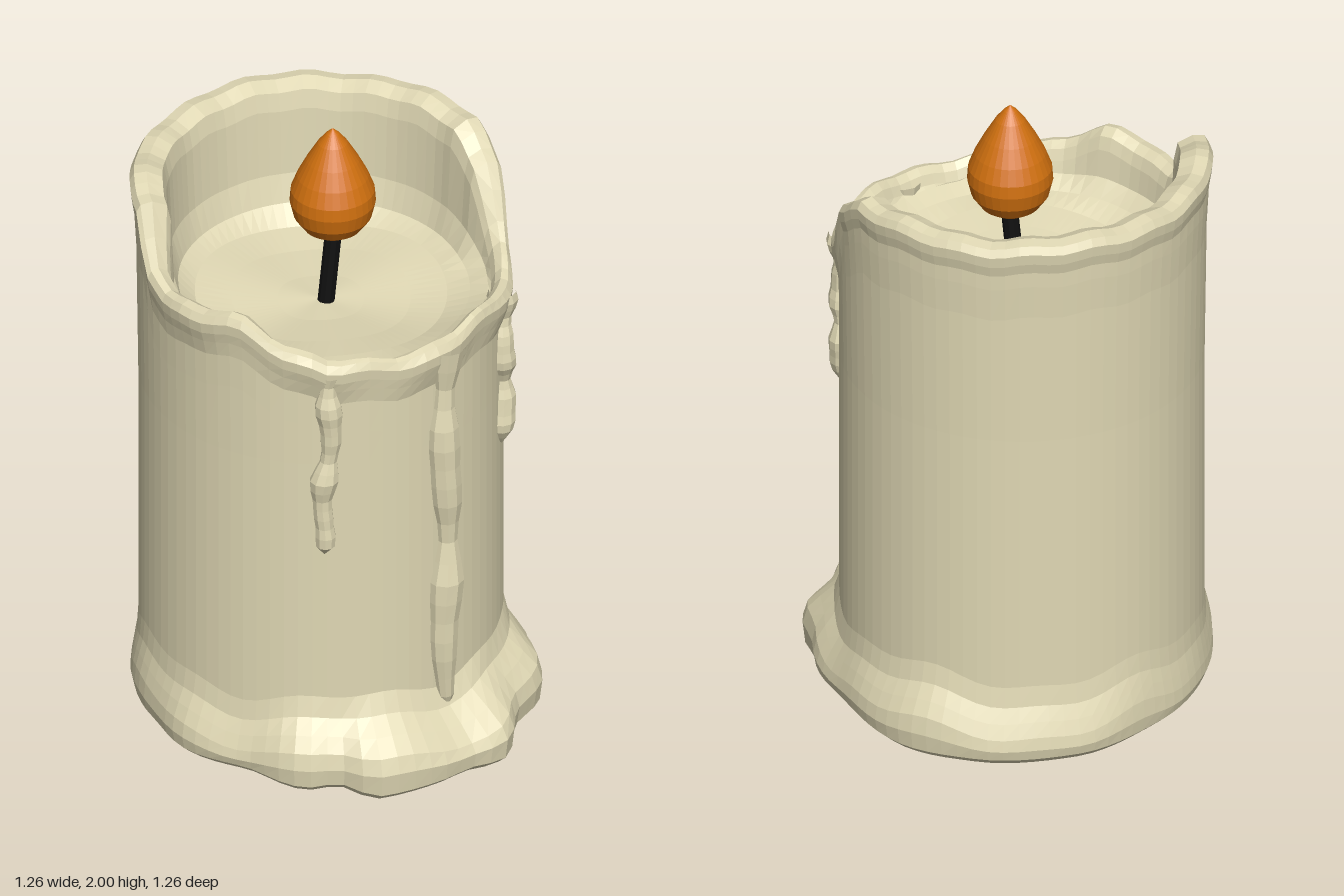
import * as THREE from 'three';

const CX = -0.05, CZ = -0.02, R = 0.55; // wax cylinder axis and radius
const DEG = Math.PI / 180;

// Value of a smoothly joined table of [degrees, value]; 0 = front, 90 = +x side
function around(table, deg) {
  for (let i = 0; i < table.length - 1; i++) {
    const [a, va] = table[i], [b, vb] = table[i + 1];
    if (deg >= a && deg <= b) return THREE.MathUtils.lerp(va, vb, THREE.MathUtils.smoothstep(deg, a, b));
  }
  return table[table.length - 1][1];
}

// Rim height and spread of the melted foot
const RIM = [[-180, 1.84], [-150, 1.85], [-110, 1.84], [-75, 1.85], [-64, 1.83], [-54, 1.64], [-42, 1.61],
  [-16, 1.64], [5, 1.55], [16, 1.52], [39, 1.5], [75, 1.53], [92, 1.5], [108, 1.55], [124, 1.78],
  [136, 1.84], [160, 1.85], [180, 1.84]];
const FOOT = [[-180, 0.615], [-150, 0.6], [-120, 0.575], [-90, 0.57], [-50, 0.585], [-30, 0.61], [-12, 0.6],
  [8, 0.65], [16, 0.635], [27, 0.7], [42, 0.695], [52, 0.69], [63, 0.72], [76, 0.66], [90, 0.68],
  [105, 0.63], [130, 0.6], [160, 0.625], [180, 0.615]];

// Closed rings, listed from the bottom up, joined into a skin
function loft(rows, cols, point) {
  const pos = [], index = [];
  for (let i = 0; i < rows; i++)
    for (let j = 0; j < cols; j++) pos.push(...point(i, j));
  for (let i = 0; i < rows - 1; i++)
    for (let j = 0; j < cols; j++) {
      const k = (j + 1) % cols, a = i * cols + j, b = i * cols + k, c = a + cols, d = b + cols;
      index.push(a, b, d, a, d, c);
    }
  const g = new THREE.BufferGeometry();
  g.setAttribute('position', new THREE.Float32BufferAttribute(pos, 3));
  g.setIndex(index);
  g.computeVertexNormals();
  return g;
}

// Radius and height pairs from under the foot, up the wall, over the rim and into the pool
function waxProfile(deg) {
  const a = deg * DEG;
  const h = around(RIM, deg) + 0.006 * Math.sin(17 * a);
  const f = around(FOOT, deg), d = f - R;
  const hi = THREE.MathUtils.clamp((h - 1.5) / 0.35, 0, 1);
  const lip = 0.022 + 0.008 * Math.sin(9 * a) * (1 - hi);
  const base = 0.045 - 0.27 * Math.max(0, f - 0.57);
  const ripple = 0.02 * Math.sin(5 * a) + 0.01 * Math.sin(11 * a + 1);
  const pool = 0.012 * Math.sin(3 * a + 0.5);
  const inner = 0.515 - 0.05 * hi;
  return [
    [0, 0.05], [f - 0.08, 0.05], [f - 0.035, base], [f - 0.008, base + 0.025], [f, 0.1 + ripple * 0.5],
    [f - 0.12 * d, 0.145 + ripple], [R + 0.55 * d, 0.19 + ripple], [R + 0.18 * d, 0.235 + ripple], [R, 0.3 + ripple],
    [R, 0.75], [R, 1.15], [R + 0.006 * hi, h - 0.26], [R + 0.012 * hi, h - 0.15],
    [R + lip * 0.6, h - 0.1], [R + lip, h - 0.065], [R + lip + 0.004, h - 0.03], [R + lip * 0.6, h - 0.006],
    [R - 0.005 - 0.02 * hi, h], [inner + 0.012, h - 0.02], [inner, h - 0.05 - 0.03 * hi],
    [inner - 0.01, 1.45 + 0.1 * hi], [0.45 - 0.02 * hi, 1.43 + 0.03 * hi], [0.38, 1.415 + pool],
    [0.27, 1.4 + pool], [0.13, 1.39 + pool * 0.4], [0, 1.39],
  ];
}

function waxBody() {
  const cols = 80, profiles = [];
  for (let j = 0; j < cols; j++) profiles.push(waxProfile(-180 + (360 * j) / cols));
  return loft(profiles[0].length, cols, (i, j) => {
    const a = (-180 + (360 * j) / cols) * DEG, [r, y] = profiles[j][i];
    return [CX + r * Math.sin(a), y, CZ + r * Math.cos(a)];
  });
}

// Run of wax down the wall: uneven width, rounded lower end
function drip(deg, lean, y0, y1, width, seed) {
  const rows = 20, cols = 10;
  return loft(rows, cols, (i, j) => {
    const t = i / (rows - 1), b = (j / cols) * Math.PI * 2;
    const end = Math.sqrt(Math.min(1, t * 9));
    const w = width * end * (1 + 0.22 * Math.sin(t * 17 + seed) + 0.12 * Math.sin(t * 31 + seed));
    const a = (deg + lean * t + 0.9 * Math.sin(t * 11 + seed)) * DEG;
    const side = w * Math.sin(b), out = R + 0.004 + w * Math.cos(b);
    return [CX + out * Math.sin(a) + side * Math.cos(a), y0 + (y1 - y0) * t,
      CZ + out * Math.cos(a) - side * Math.sin(a)];
  });
}

export function createModel() {
  const model = new THREE.Group();
  model.name = 'candle';
  const material = (color) => new THREE.MeshStandardMaterial({ color, flatShading: true });
  const wax = material(0xe0d8b4);
  const add = (name, geometry, mat) => {
    const mesh = new THREE.Mesh(geometry, mat);
    mesh.name = name;
    model.add(mesh);
    return mesh;
  };

  add('waxBody', waxBody(), wax);

  // Three drips below the low side of the rim
  add('frontDrip', drip(12, 3, 0.83, 1.47, 0.034, 1), wax);
  add('longDrip', drip(54, 0, 0.17, 1.48, 0.046, 2.5), wax);
  add('sideDrip', drip(91, 0, 0.94, 1.48, 0.037, 4), wax);

  // Wick, leaning slightly
  const wickPath = new THREE.LineCurve3(new THREE.Vector3(-0.035, 1.37, -0.015), new THREE.Vector3(-0.01, 1.66, -0.025));
  add('wick', new THREE.TubeGeometry(wickPath, 4, 0.026, 10), material(0x111111));

  // Teardrop flame
  const flameProfile = [[0, 1.62], [0.05, 1.628], [0.09, 1.655], [0.118, 1.695], [0.13, 1.745], [0.127, 1.785],
    [0.108, 1.835], [0.08, 1.89], [0.045, 1.95], [0.02, 1.982], [0, 2]].map(([r, y]) => new THREE.Vector2(r, y));
  add('flame', new THREE.LatheGeometry(flameProfile, 32), material(0xd0700f)).position.set(-0.015, 0, -0.025);

  return model;
}
